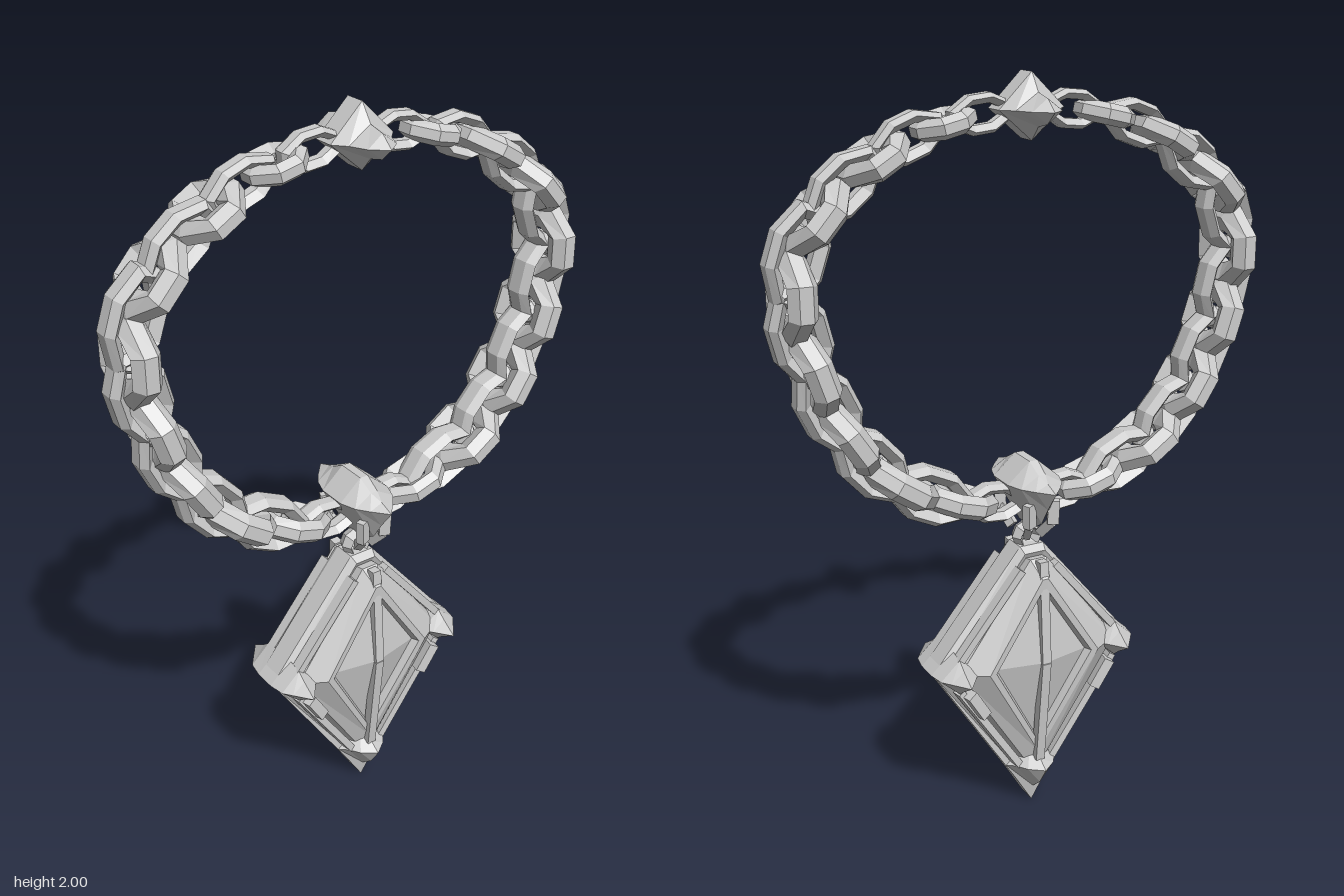
import * as THREE from 'three';

const material = new THREE.MeshStandardMaterial({ color: 0xcccccc, flatShading: true, side: THREE.DoubleSide });

// Skin a series of equally sized point rings; closed joins the last ring to the first
function loft(rings, closed = false) {
  const pos = [];
  const n = rings[0].length;
  const count = closed ? rings.length : rings.length - 1;
  for (let r = 0; r < count; r++) {
    const a = rings[r], b = rings[(r + 1) % rings.length];
    for (let i = 0; i < n; i++) {
      const j = (i + 1) % n;
      pos.push(...a[i], ...a[j], ...b[j], ...a[i], ...b[j], ...b[i]);
    }
  }
  const g = new THREE.BufferGeometry();
  g.setAttribute('position', new THREE.Float32BufferAttribute(pos, 3));
  g.computeVertexNormals();
  return g;
}

// Kite outline with a blunt top; bz is the depth at the bottom corner
const kite = (hw, top, mid, bot, z, tw = 0, bz = z) =>
  [[hw, mid, z], [tw, top, z], [-tw, top, z], [-hw, mid, z], [0, bot, bz]];

// Mirrored front and back from outer-to-centre kite profiles
function kiteBody(profiles) {
  const front = profiles.map(p => kite(...p));
  const back = front.map(r => r.map(([x, y, z]) => [x, y, -z])).reverse();
  return loft([...back, ...front]);
}

// Faceted chain link: octagon with narrow ends along y and a six-sided cross-section
function linkGeometry(W, L, straight, tip, bar, depth) {
  const ring = (inset, z) => {
    const w = W - inset, l = L - inset, t = Math.max(tip - inset * 0.5, 0.006), s = straight - inset * 0.2;
    return [[w, -s], [w, s], [t, l], [-t, l], [-w, s], [-w, -s], [-t, -l], [t, -l]].map(p => [...p, z]);
  };
  return loft([
    ring(0, -depth * 0.45), ring(0, depth * 0.45), ring(bar * 0.4, depth),
    ring(bar, depth * 0.4), ring(bar, -depth * 0.4), ring(bar * 0.4, -depth),
  ], true);
}

function add(parent, name, geometry, x = 0, y = 0, z = 0) {
  const m = new THREE.Mesh(geometry, material);
  m.name = name;
  m.position.set(x, y, z);
  parent.add(m);
  return m;
}

// Four-sided strut between two points
function strut(parent, name, a, b, w, d) {
  const A = new THREE.Vector3(...a), B = new THREE.Vector3(...b);
  const dir = B.clone().sub(A);
  const m = add(parent, name, new THREE.BoxGeometry(w, dir.length(), d));
  m.position.copy(A).add(B).multiplyScalar(0.5);
  m.quaternion.setFromUnitVectors(new THREE.Vector3(0, 1, 0), dir.normalize());
}

export function createModel() {
  const model = new THREE.Group();

  // Chain: flat and upright links alternate down each half, smaller near both ends
  const chain = new THREE.Group();
  chain.name = 'chain';
  const half = new THREE.CatmullRomCurve3([
    [0, 1.915], [0.17, 1.9], [0.34, 1.85], [0.48, 1.76], [0.58, 1.65], [0.61, 1.53],
    [0.585, 1.38], [0.52, 1.21], [0.41, 1.06], [0.28, 0.975], [0.13, 0.925], [0, 0.915],
  ].map(([x, y]) => new THREE.Vector3(x, y, 0)));
  const perSide = 17;
  for (const side of [1, -1]) {
    for (let i = 0; i < perSide; i++) {
      const u = (i + 1.3) / (perSide + 1.3);
      const p = half.getPointAt(u), t = half.getTangentAt(u);
      const s = Math.min(0.6 + u, 1.02, 0.6 + (1 - u) * 2.6);
      const flat = i % 2 === 0;
      const reach = p.x < 0.3 ? 0.075 : 0.105;
      const g = flat
        ? linkGeometry(0.07 * s, 0.122 * s, 0.042 * s, 0.026 * s, 0.036 * s, 0.042 * s)
        : linkGeometry(reach, 0.108 * s, 0.042 * s, 0.03 * s, reach * 0.65, 0.036 * s);
      if (!flat) g.rotateY(Math.PI / 2);
      const m = add(chain, flat ? 'flatLink' : 'uprightLink', g, side * p.x, p.y, 0);
      m.rotation.z = Math.atan2(-side * t.x, t.y);
    }
  }
  model.add(chain);

  // Pointed clasp at the top of the chain
  add(model, 'clasp', kiteBody([
    [0.088, 2.0, 1.915, 1.84, 0.028], [0.06, 1.955, 1.915, 1.875, 0.06],
    [0.04, 1.945, 1.915, 1.885, 0.105], [0, 1.915, 1.915, 1.915, 0.14],
  ]));

  // Bail carrying the pendant, with four prongs gripping the ring
  add(model, 'bail', kiteBody([
    [0.075, 1.03, 0.975, 0.84, 0.04, 0.012], [0.06, 1.005, 0.975, 0.87, 0.085, 0.01],
    [0.036, 0.99, 0.975, 0.92, 0.118], [0, 0.975, 0.975, 0.975, 0.16],
  ]));
  for (const f of [1, -1]) {
    for (const s of [1, -1]) {
      strut(model, 'bailProng', [s * 0.036, 0.93, f * 0.085], [s * 0.034, 0.865, f * 0.082], 0.022, 0.03);
      strut(model, 'bailProng', [s * 0.034, 0.87, f * 0.082], [s * 0.02, 0.825, f * 0.04], 0.02, 0.026);
    }
  }
  const ring = add(model, 'pendantRing', new THREE.TorusGeometry(0.03, 0.013, 4, 8), 0, 0.808, 0);
  ring.scale.z = 2;

  // Stepped kite pendant with a faceted gem on both faces
  const pendant = new THREE.Group();
  pendant.name = 'pendant';
  add(pendant, 'frameAndGem', kiteBody([
    [0.295, 0.79, 0.475, 0.005, 0.03, 0.035], [0.265, 0.775, 0.475, 0.05, 0.05, 0.03, 0.03],
    [0.25, 0.76, 0.475, 0.08, 0.042, 0.024, 0.03], [0.235, 0.765, 0.475, 0.1, 0.068, 0.024, 0.05],
    [0.165, 0.72, 0.475, 0.18, 0.108, 0.008, 0.072], [0.145, 0.69, 0.475, 0.21, 0.106, 0.005, 0.074],
    [0.135, 0.68, 0.475, 0.225, 0.085, 0.004, 0.055], [0, 0.475, 0.475, 0.475, 0.112],
  ]));

  for (const f of [1, -1]) {
    // Central rib over the gem
    strut(pendant, 'centreRib', [0, 0.765, f * 0.088], [0, 0.475, f * 0.106], 0.026, 0.026);
    strut(pendant, 'centreRib', [0, 0.475, f * 0.106], [0, 0.16, f * 0.07], 0.026, 0.026);
    for (const s of [1, -1]) {
      // Raised trim along the frame edges
      strut(pendant, 'upperTrim', [s * 0.05, 0.74, f * 0.06], [s * 0.235, 0.515, f * 0.06], 0.02, 0.03);
      strut(pendant, 'lowerTrim', [s * 0.235, 0.425, f * 0.06], [s * 0.05, 0.14, f * 0.045], 0.02, 0.03);
      strut(pendant, 'edgeClaw', [s * 0.215, 0.42, f * 0.075], [s * 0.17, 0.345, f * 0.07], 0.03, 0.045);
    }
  }

  // Spiked studs on the side corners and the lower tip
  for (const s of [1, -1]) {
    add(pendant, 'sideStud', kiteBody([
      [0.063, 0.058, 0, -0.058, 0.03], [0.055, 0.05, 0, -0.05, 0.075],
      [0.036, 0.03, 0, -0.03, 0.1], [0, 0, 0, 0, 0.147],
    ]), s * 0.238, 0.475, 0);
  }
  add(pendant, 'tipStud', kiteBody([
    [0.08, 0.175, 0.135, 0, 0.03, 0.03], [0.06, 0.17, 0.14, 0.05, 0.055, 0.02, 0.04],
    [0.04, 0.16, 0.14, 0.085, 0.085, 0, 0.08], [0, 0.14, 0.14, 0.14, 0.115],
  ]));
  model.add(pendant);

  return model;
}
